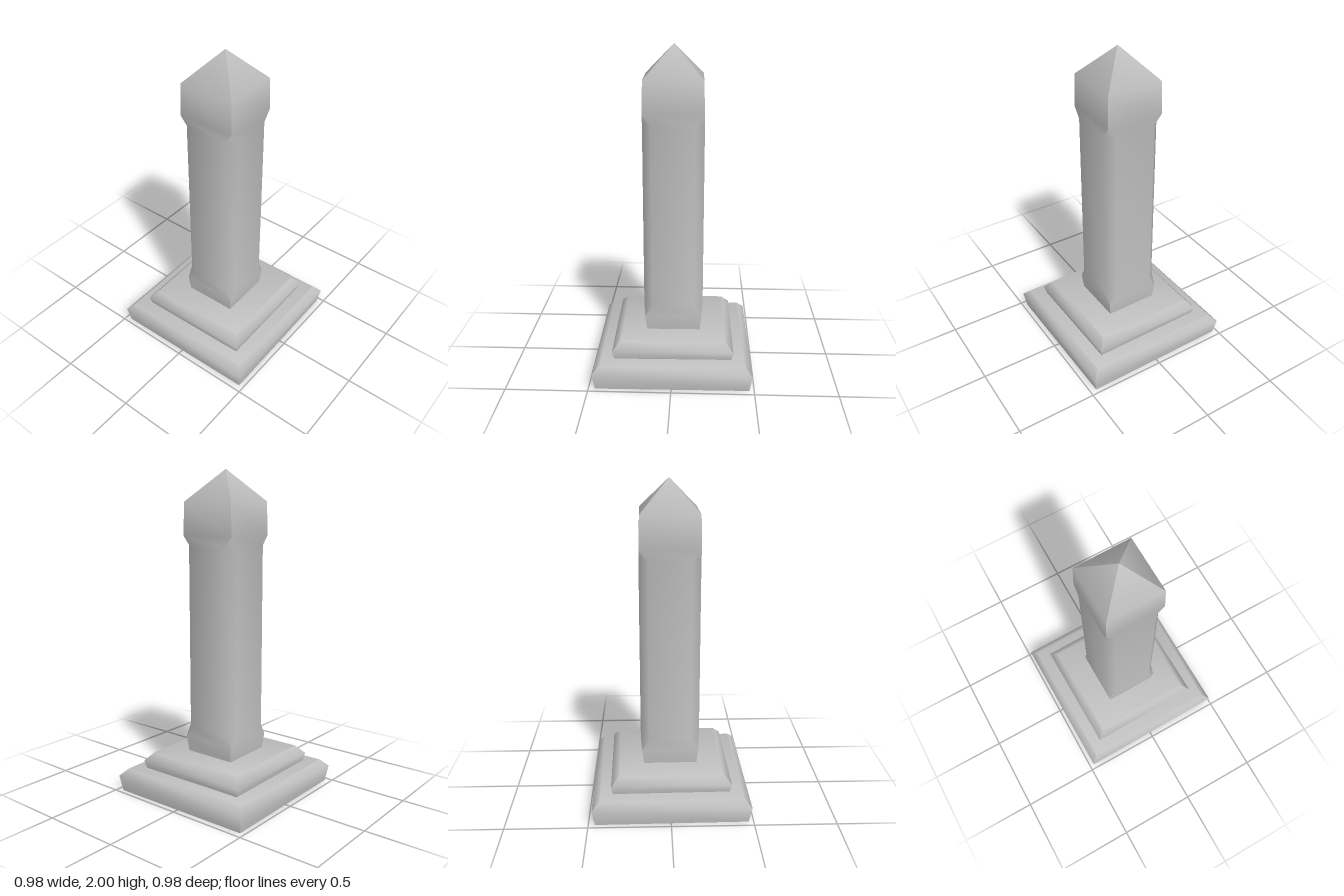
import * as THREE from 'three';
import { toCreasedNormals } from 'three/addons/utils/BufferGeometryUtils.js';

// Square cross-section with cut corners: [height, half width, corner cut]
function ring([y, h, c = 0]) {
  const k = h - c;
  return [[h, -k], [h, k], [k, h], [-k, h], [-h, k], [-h, -k], [-k, -h], [k, -h]]
    .map(([x, z]) => new THREE.Vector3(x, y, z));
}

// Closed solid through a stack of sections, with soft bevels and sharp corners
function stack(sections) {
  const rings = sections.map(ring);
  const positions = [];
  const tri = (a, b, c) => {
    const area = b.clone().sub(a).cross(c.clone().sub(a)).length();
    if (area > 1e-8) for (const p of [a, b, c]) positions.push(p.x, p.y, p.z);
  };
  for (let r = 0; r < rings.length - 1; r++) {
    const lo = rings[r], hi = rings[r + 1];
    for (let i = 0; i < 8; i++) {
      const j = (i + 1) % 8;
      tri(lo[i], hi[i], hi[j]);
      tri(lo[i], hi[j], lo[j]);
    }
  }
  // End caps
  const bottom = rings[0], top = rings[rings.length - 1];
  for (let i = 1; i < 7; i++) {
    tri(bottom[0], bottom[i], bottom[i + 1]);
    tri(top[0], top[i + 1], top[i]);
  }
  const geometry = new THREE.BufferGeometry();
  geometry.setAttribute('position', new THREE.Float32BufferAttribute(positions, 3));
  return toCreasedNormals(geometry, 1.03);
}

export function createModel() {
  const group = new THREE.Group();
  group.name = 'obelisk';
  const stone = new THREE.MeshStandardMaterial({ color: 0xbfbfbf });
  stone.name = 'grey stone';

  const add = (name, sections, turn) => {
    const mesh = new THREE.Mesh(stack(sections), stone);
    mesh.name = name;
    mesh.rotation.y = turn; // stones sit very slightly askew
    group.add(mesh);
  };

  // Two bevelled steps
  add('lowerStep', [[0, 0.465], [0.1, 0.482], [0.146, 0.437]], 0.0115);
  add('upperStep', [[0.146, 0.358], [0.195, 0.369], [0.25, 0.32]], 0.015);

  // Pillar: square foot, shaft with cut corners, square head and pointed cap
  add('pillar', [
    [0.25, 0.166], [0.345, 0.176], [0.42, 0.183, 0.055],
    [1.55, 0.183, 0.055], [1.61, 0.181], [1.81, 0.176], [2, 0],
  ], 0.0115);

  return group;
}
